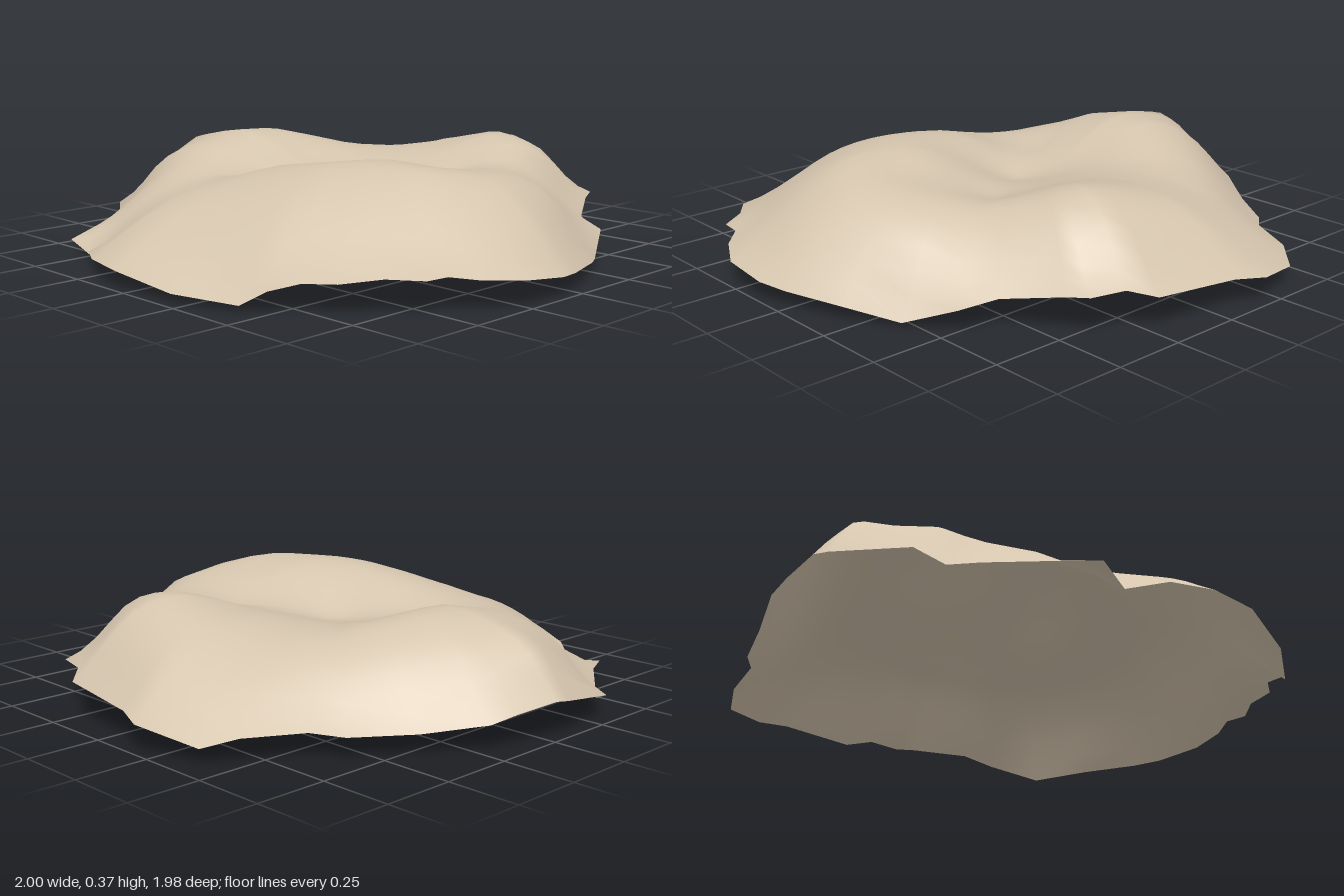
import * as THREE from 'three';

// Ragged rim, running left, back, right, front: x, z, y
const RIM = [
  [-1, 0, 0.13], [-0.96, -0.14, 0.11], [-0.93, -0.23, 0.09], [-0.8, -0.4, 0.07], [-0.67, -0.58, 0.07],
  [-0.58, -0.65, 0.08], [-0.48, -0.83, 0.08], [-0.4, -0.92, 0.05], [-0.18, -0.99, 0.09], [-0.07, -0.95, 0.1],
  [0.25, -0.92, 0.12], [0.32, -0.85, 0.14], [0.44, -0.82, 0.14], [0.47, -0.75, 0.13], [0.58, -0.57, 0.1],
  [0.7, -0.52, 0.08], [0.79, -0.36, 0.015], [0.9, -0.19, 0.05], [0.97, 0, 0.06], [1, 0.1, 0.07],
  [1, 0.27, 0.09], [0.93, 0.4, 0.1], [0.86, 0.47, 0.11], [0.85, 0.55, 0.11], [0.75, 0.62, 0.11],
  [0.67, 0.73, 0.1], [0.56, 0.77, 0.09], [0.5, 0.85, 0.07], [0.42, 0.89, 0.02], [0.2, 0.97, 0.03],
  [-0.06, 0.99, 0.06], [-0.24, 0.95, 0.06], [-0.38, 0.87, 0.05], [-0.5, 0.78, 0], [-0.62, 0.78, 0.04],
  [-0.69, 0.64, 0.05], [-0.81, 0.48, 0.04], [-0.87, 0.4, 0.03], [-0.95, 0.34, 0.07], [-1, 0.06, 0.12],
];

// Ridges, slopes and hollows: x, z, height
const HILLS = [
  // Left and back ridge, outer crest
  [-0.9, 0.06, 0.265], [-0.73, 0.06, 0.335], [-0.52, -0.17, 0.345], [-0.32, -0.33, 0.29],
  [-0.11, -0.47, 0.305], [0.15, -0.59, 0.365], [0.36, -0.62, 0.31],
  // Left and back ridge, inner crest
  [-0.69, 0.12, 0.34], [-0.48, 0.05, 0.343], [-0.3, -0.1, 0.28], [-0.05, -0.24, 0.28], [0.27, -0.45, 0.345],
  // Outer slopes of that ridge
  [-0.73, -0.26, 0.25], [-0.48, -0.48, 0.24], [-0.2, -0.7, 0.25], [-0.2, -0.86, 0.18], [0.12, -0.78, 0.3],
  [0.12, -0.86, 0.23], [-0.78, 0.27, 0.24], [-0.6, 0.35, 0.25],
  // Front and right ridge
  [-0.26, 0.57, 0.225], [-0.02, 0.32, 0.32], [0.23, 0.33, 0.358], [0.3, 0.12, 0.35], [0.47, 0.08, 0.34],
  [0.57, 0.22, 0.354], [0.68, 0.04, 0.315], [0.8, 0.2, 0.24], [0.88, 0.05, 0.18],
  // Outer slopes of that ridge
  [0.38, 0.53, 0.295], [0.62, 0.45, 0.25], [0.35, 0.72, 0.19], [0, 0.7, 0.22], [-0.2, 0.7, 0.205],
  [-0.2, 0.83, 0.145], [-0.52, 0.53, 0.185],
  // Hollow in the middle, draining to the right
  [0, 0.02, 0.225], [-0.28, 0.22, 0.245], [0.28, -0.2, 0.265], [0.47, -0.32, 0.285], [0.72, -0.24, 0.225],
];

// Smooth surface passing through all given points (multiquadric interpolation)
function fitSurface(points) {
  const basis = (x, z, p) => Math.sqrt((x - p[0]) ** 2 + (z - p[1]) ** 2 + 0.004);
  const n = points.length;
  const rows = points.map((p) => [...points.map((q) => basis(p[0], p[1], q)), p[2]]);
  for (let c = 0; c < n; c++) {
    let pivot = c;
    for (let r = c + 1; r < n; r++) if (Math.abs(rows[r][c]) > Math.abs(rows[pivot][c])) pivot = r;
    [rows[c], rows[pivot]] = [rows[pivot], rows[c]];
    for (let r = 0; r < n; r++) {
      if (r === c) continue;
      const f = rows[r][c] / rows[c][c];
      for (let k = c; k <= n; k++) rows[r][k] -= f * rows[c][k];
    }
  }
  const weights = rows.map((row, i) => row[n] / row[i]);
  return (x, z) => points.reduce((sum, p, i) => sum + weights[i] * basis(x, z, p), 0);
}

// Open shell: rings shrinking from the rim to the middle
function moundGeometry() {
  const rings = 18, n = RIM.length;
  const height = fitSurface([...RIM, ...HILLS]);
  const positions = [0, height(0, 0), 0];
  const index = [];
  for (let k = 1; k <= rings; k++) {
    const t = k / rings;
    for (const [rx, rz] of RIM) positions.push(rx * t, height(rx * t, rz * t), rz * t);
  }
  for (let i = 0; i < n; i++) {
    const j = (i + 1) % n;
    index.push(0, 1 + j, 1 + i);
    for (let k = 0; k < rings - 1; k++) {
      const a = 1 + k * n + i, b = 1 + k * n + j;
      index.push(a, b, a + n, b, b + n, a + n);
    }
  }
  const geometry = new THREE.BufferGeometry();
  geometry.setAttribute('position', new THREE.Float32BufferAttribute(positions, 3));
  geometry.setIndex(index);
  geometry.computeVertexNormals();
  return geometry;
}

export function createModel() {
  const group = new THREE.Group();
  group.name = 'rockMound';
  const sandstone = new THREE.MeshStandardMaterial({ color: 0xd5c5ae, side: THREE.DoubleSide });
  sandstone.name = 'sandstone';
  const mound = new THREE.Mesh(moundGeometry(), sandstone);
  mound.name = 'moundShell';
  group.add(mound);
  return group;
}
